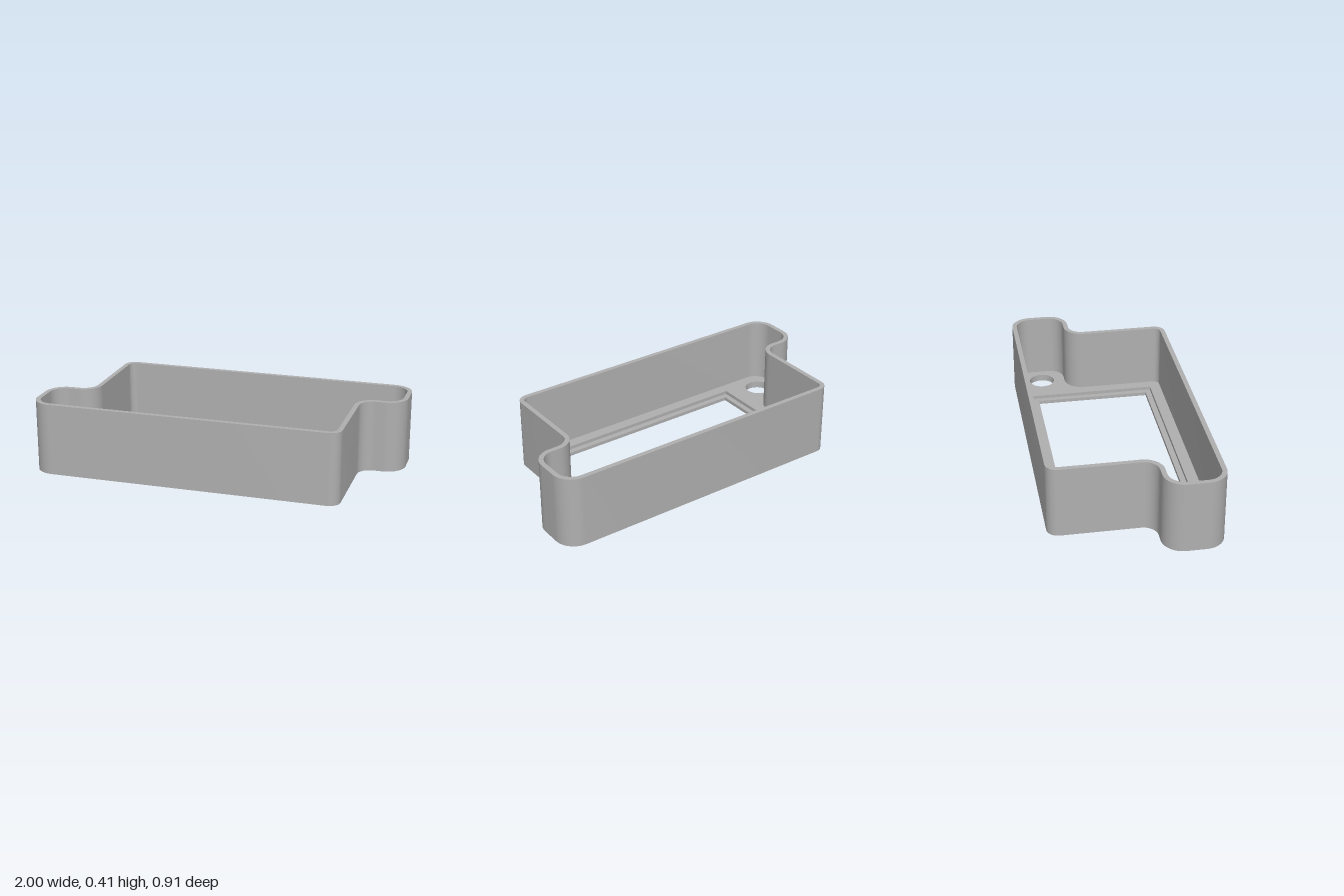
import * as THREE from 'three';
import { toCreasedNormals } from 'three/addons/utils/BufferGeometryUtils.js';

const HEIGHT = 0.41, WALL = 0.027, FLOOR = 0.04, LEDGE = 0.02;

// Half of the outline: x, y (= -z), corner radius, inset direction of y, concave.
// The other half is the same turned by 180 degrees.
const HALF = [
  [1, 0.457, 0.115, -1, false],
  [-0.757, 0.457, 0.065, -1, false],
  [-0.757, -0.12, 0.08, 1, true],
  [-1, -0.12, 0.115, 1, false],
];

// Rounded outline with two ears, moved inwards by d
function outline(d, Type = THREE.Shape) {
  const half = HALF.map(([x, y, r, dir, concave]) => ({
    p: new THREE.Vector2(x - Math.sign(x) * d, y + Math.sign(y) * dir * d),
    r: concave ? r + d : r - d,
    concave,
  }));
  const corners = [...half, ...half.map((c) => ({ ...c, p: c.p.clone().negate() }))];
  const path = new Type();
  corners.forEach(({ p, r, concave }, i) => {
    const a = corners[(i + 7) % 8].p.clone().sub(p).normalize();
    const b = corners[(i + 1) % 8].p.clone().sub(p).normalize();
    const c = p.clone().addScaledVector(a, r).addScaledVector(b, r);
    path.absarc(c.x, c.y, r, Math.atan2(-b.y, -b.x), Math.atan2(-a.y, -a.x), concave);
  });
  path.closePath();
  return path;
}

function rectHole(w, h) {
  return new THREE.Path([[-w, -h], [-w, h], [w, h], [w, -h]].map(([x, y]) => new THREE.Vector2(x, y)));
}

function screwHole(side) {
  return new THREE.Path().absarc(side * 0.855, side * 0.288, 0.075, 0, Math.PI * 2, true);
}

export function createModel() {
  const group = new THREE.Group();
  group.name = 'enclosure';
  const grey = new THREE.MeshStandardMaterial({ color: 0xb0b0b0 });
  grey.name = 'grey';

  function addLayer(name, shape, holes, y0, y1) {
    shape.holes.push(...holes);
    const geo = new THREE.ExtrudeGeometry(shape, { depth: y1 - y0, bevelEnabled: false, curveSegments: 14 });
    geo.rotateX(-Math.PI / 2);
    geo.translate(0, y0, 0);
    const mesh = new THREE.Mesh(toCreasedNormals(geo, 0.6), grey);
    mesh.name = name;
    group.add(mesh);
  }

  // Outer wall
  addLayer('wall', outline(0), [outline(WALL, THREE.Path)], 0, HEIGHT);
  // Floor in two steps, leaving a ledge around the window
  const holes = () => [screwHole(1), screwHole(-1)];
  addLayer('windowLedge', outline(WALL), [rectHole(0.634, 0.333), ...holes()], 0, LEDGE);
  addLayer('floor', outline(WALL), [rectHole(0.666, 0.366), ...holes()], LEDGE, FLOOR);
  return group;
}
